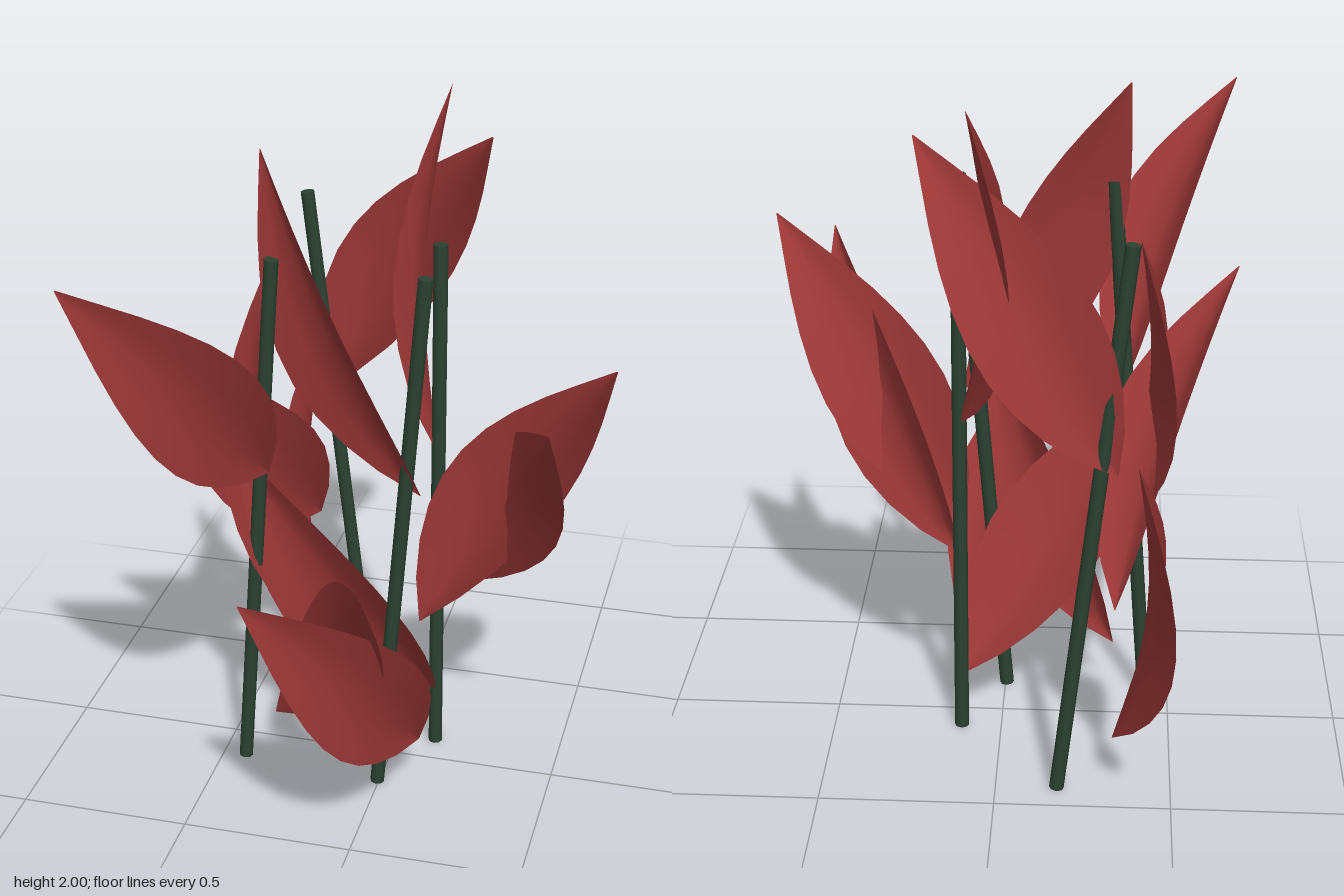
import * as THREE from 'three';

const LEAF_LENGTH = 1.06, HALF_WIDTH = 0.17, BOW = 0.06, FOLD = 0.065;
const GOLDEN_ANGLE = THREE.MathUtils.degToRad(137.5);

// One leaf: pointed at both ends, midrib bowed, edges folded forward
function leafGeometry() {
  const geo = new THREE.PlaneGeometry(2, 1, 4, 10);
  const p = geo.attributes.position;
  for (let i = 0; i < p.count; i++) {
    const s = p.getX(i);
    const t = THREE.MathUtils.clamp(p.getY(i) + 0.5, 0, 1);
    const w = Math.max(0.01, Math.sin(Math.PI * Math.pow(t, 0.85)));
    p.setXYZ(i,
      s * HALF_WIDTH * w,
      t * LEAF_LENGTH,
      BOW * Math.sin(Math.PI * t) + FOLD * w * Math.pow(Math.abs(s), 1.3));
  }
  geo.computeVertexNormals();
  return geo;
}

// Straight stem between two points
function stemMesh(from, to, material) {
  const dir = to.clone().sub(from);
  const mesh = new THREE.Mesh(new THREE.CylinderGeometry(0.021, 0.021, dir.length(), 8), material);
  mesh.position.copy(from).addScaledVector(dir, 0.5);
  mesh.quaternion.setFromUnitVectors(new THREE.Vector3(0, 1, 0), dir.normalize());
  return mesh;
}

export function createModel() {
  const model = new THREE.Group();
  model.name = 'leafyPlant';

  const leafRed = new THREE.MeshStandardMaterial({ color: 0x9e3838, side: THREE.DoubleSide });
  leafRed.name = 'leafRed';
  const stemGreen = new THREE.MeshStandardMaterial({ color: 0x2c4232 });
  stemGreen.name = 'stemGreen';

  // Per stalk: depth, stem foot and top in x, and x where its leaves grow
  const stalks = [
    { z: -0.095, foot: 0.118, top: 0.118, leafX: 0.12 },
    { z: 0.12, foot: -0.43, top: -0.305, leafX: -0.33 },
    { z: -0.412, foot: -0.175, top: -0.355, leafX: -0.33 },
    { z: 0.155, foot: -0.005, top: 0.133, leafX: 0.123 },
  ];
  const leafHeights = [0.175, 0.585, 0.995];
  const leaf = leafGeometry();

  stalks.forEach((s, i) => {
    const stalk = new THREE.Group();
    stalk.name = `stalk${i + 1}`;

    const stem = stemMesh(
      new THREE.Vector3(s.foot, 0.002, s.z), new THREE.Vector3(s.top, 1.65, s.z), stemGreen);
    stem.name = 'stem';
    stalk.add(stem);

    // Leaves spiral up the stalk
    leafHeights.forEach((y, j) => {
      const mesh = new THREE.Mesh(leaf, leafRed);
      mesh.name = `leaf${j + 1}`;
      mesh.position.set(s.leafX, y, s.z);
      mesh.rotation.set(0.226, (i + j) * GOLDEN_ANGLE, 0.55);
      stalk.add(mesh);
    });
    model.add(stalk);
  });
  return model;
}
